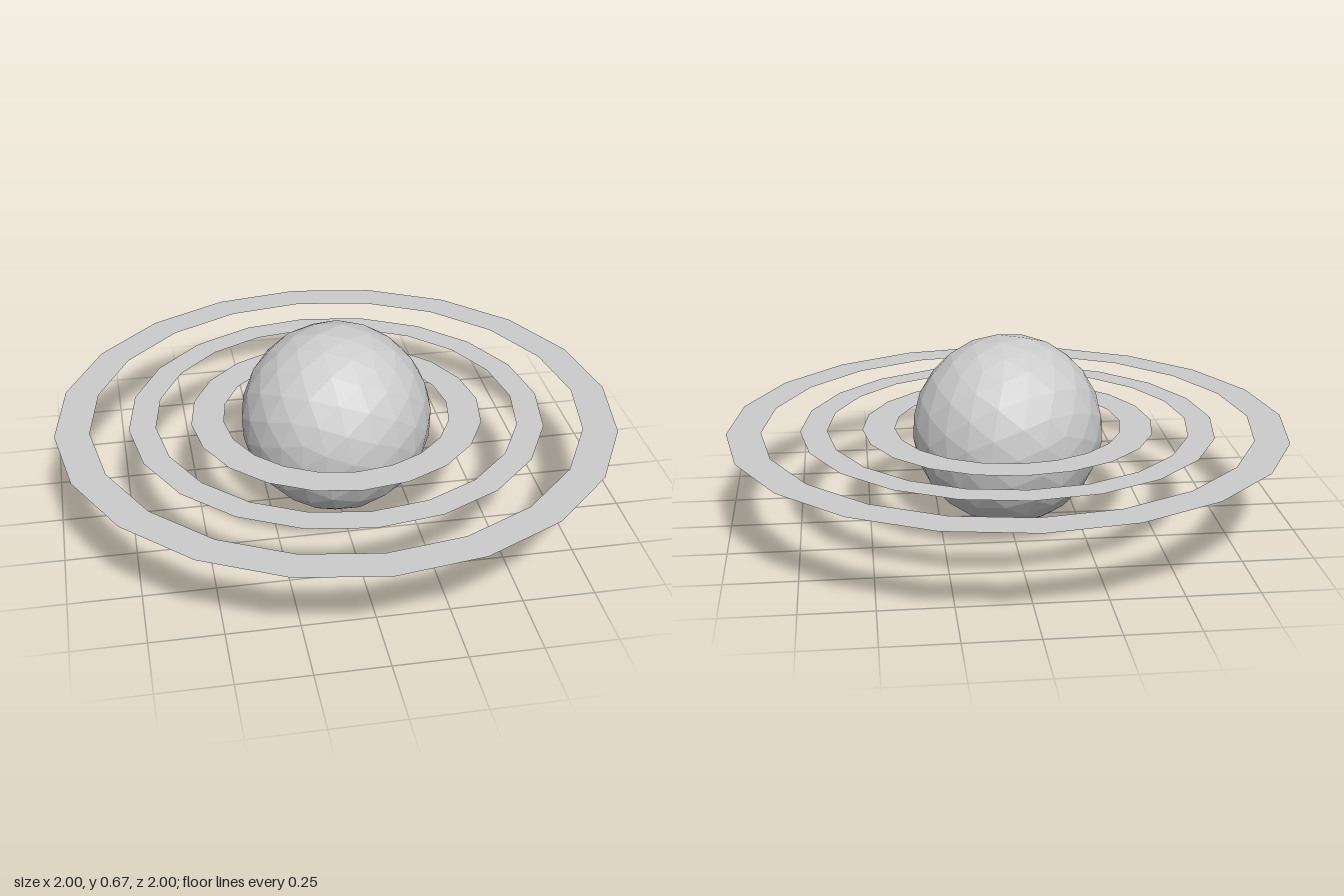
import * as THREE from 'three';

export function createModel() {
  const model = new THREE.Group();
  model.name = 'ringedPlanet';

  // Faceted planet, turned so that a small facet lies flat on top and below
  const phi = (1 + Math.sqrt(5)) / 2;
  const up = new THREE.Vector3(1, 1, 1).normalize();
  const front = new THREE.Vector3(1 / phi, -phi, 1).normalize();
  const side = new THREE.Vector3().crossVectors(up, front);
  const turn = new THREE.Matrix4().makeBasis(side, up, front).transpose();
  const ball = new THREE.IcosahedronGeometry(0.341, 3).applyMatrix4(turn);
  ball.computeBoundingBox();
  ball.translate(0, -ball.boundingBox.min.y, 0);
  ball.computeVertexNormals();
  const planet = new THREE.Mesh(
    ball,
    new THREE.MeshStandardMaterial({ color: 0xcccccc, flatShading: true })
  );
  planet.name = 'planet';
  model.add(planet);

  // Three flat, twenty-sided rings
  const ringMaterial = new THREE.MeshStandardMaterial({
    color: 0xcccccc, flatShading: true, side: THREE.DoubleSide,
  });
  const rings = [
    ['innerRing', 0.405, 0.52],
    ['middleRing', 0.645, 0.74],
    ['outerRing', 0.877, 1],
  ];
  for (const [name, inner, outer] of rings) {
    const geometry = new THREE.RingGeometry(inner, outer, 20, 1);
    geometry.rotateX(-Math.PI / 2);
    const ring = new THREE.Mesh(geometry, ringMaterial);
    ring.name = name;
    ring.position.y = 0.35;
    model.add(ring);
  }

  return model;
}
